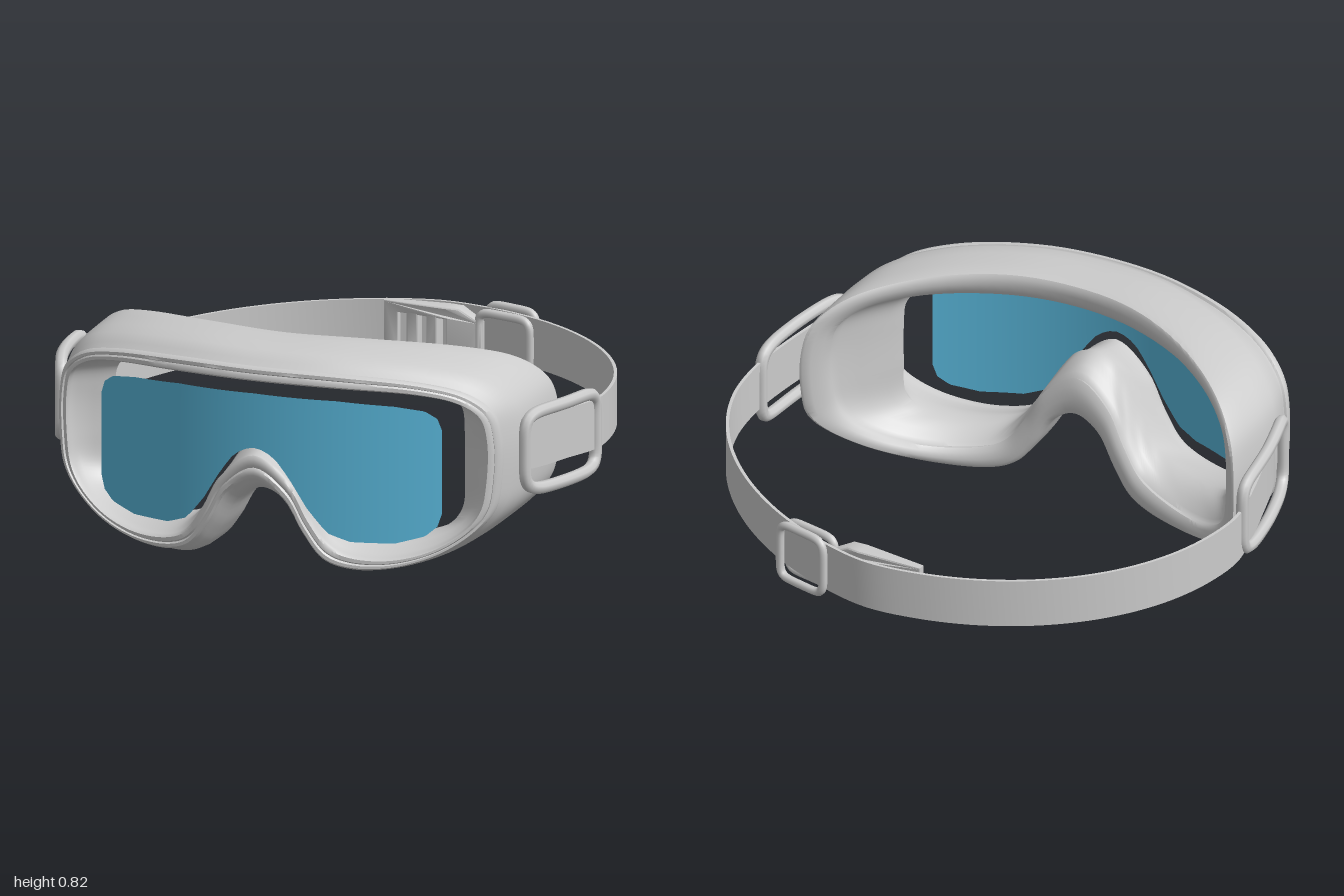
import * as THREE from 'three';
import { toCreasedNormals } from 'three/addons/utils/BufferGeometryUtils.js';

const V = (x, y, z) => new THREE.Vector3(x, y, z);
const lerp = THREE.MathUtils.lerp;
const grey = new THREE.MeshStandardMaterial({ color: 0xcccccc, side: THREE.DoubleSide });
const blue = new THREE.MeshStandardMaterial({ color: 0x5ab8dc, side: THREE.DoubleSide });

function part(name, geometry, material = grey) {
  const mesh = new THREE.Mesh(geometry, material);
  mesh.name = name;
  return mesh;
}

// Skin a list of cross-sections; each direction may wrap round
function loft(sections, wrapAlong, wrapSection, crease = 0.7) {
  const n = sections.length, m = sections[0].length, index = [];
  for (let i = 0; i < (wrapAlong ? n : n - 1); i++) {
    for (let j = 0; j < (wrapSection ? m : m - 1); j++) {
      const i2 = (i + 1) % n, j2 = (j + 1) % m;
      const a = i * m + j, b = i * m + j2, c = i2 * m + j2, d = i2 * m + j;
      index.push(a, b, c, a, c, d);
    }
  }
  const g = new THREE.BufferGeometry().setFromPoints(sections.flat());
  g.setIndex(index);
  return toCreasedNormals(g, crease);
}

// Half outlines from top centre, round the side, to the nose arch:
// outside of the body, inner edge of the front rim, narrowest opening
const OUTER = [[0, .825], [.3, .82], [.6, .78], [.77, .72], [.86, .63], [.888, .52], [.888, .36], [.87, .26],
  [.81, .18], [.68, .085], [.5, .02], [.33, .005], [.235, .035], [.165, .12], [.09, .24], [0, .285]];
const RIM = [[0, .725], [.3, .72], [.58, .7], [.71, .665], [.78, .61], [.803, .52], [.8, .36], [.782, .26],
  [.735, .19], [.63, .12], [.49, .085], [.35, .095], [.275, .13], [.205, .225], [.135, .35], [0, .445]];
const INNER = [[0, .69], [.3, .685], [.5, .67], [.62, .645], [.662, .6], [.672, .5], [.672, .36], [.665, .22],
  [.62, .16], [.5, .13], [.36, .135], [.27, .165], [.2, .265], [.13, .385], [.07, .455], [0, .475]];

function outline(half) {
  const mirrored = half.slice(1, -1).reverse().map(([x, y]) => [-x, y]);
  return new THREE.CatmullRomCurve3([...half, ...mirrored].map(([x, y]) => V(x, y, 0)), true, 'centripetal');
}

// Hollow frame: [inset (0 outer, 1 rim, 2 inner), depth from front to back]
const SECTION = [[.05, 1], [0, .93], [0, .75], [.02, .5], [.1, .3], [.32, .15], [.52, .1], [.56, .07], [.47, .05],
  [.46, .015], [.55, -.02], [.67, -.02], [.72, .003], [.78, -.015], [.93, -.015], [1, .01], [1.01, .06],
  [1.12, .14], [1.5, .3], [2, .5], [1.8, .62], [1.35, .76], [1, .86], [.86, .91], [.93, .965], [.75, 1.01],
  [.45, 1.03], [.18, 1.025]];

function frame() {
  const curves = [OUTER, RIM, INNER].map(outline), sections = [], N = 180;
  for (let i = 0; i < N; i++) {
    const [a, b, c] = curves.map(curve => curve.getPoint(i / N));
    sections.push(SECTION.map(([inset, depth]) => {
      const p = inset < 1 ? a.clone().lerp(b, inset) : b.clone().lerp(c, inset - 1);
      p.z = lerp(.94 - .36 * p.x * p.x, .63 - .56 * p.x * p.x, depth);
      return p;
    }));
  }
  return loft(sections, true, true, .8);
}

// Curved lens, filled column by column between a top and a bottom edge
const LENS_TOP = [[0, .68], [.3, .673], [.5, .655], [.6, .635], [.64, .605], [.655, .56]];
const LENS_BOTTOM = [[0, .475], [.04, .467], [.08, .44], [.13, .375], [.2, .26], [.27, .175], [.35, .145],
  [.5, .14], [.6, .165], [.64, .2], [.655, .25]];

function heightAt(table, x) {
  const k = Math.max(1, table.findIndex(p => p[0] >= x - 1e-6));
  const [x0, y0] = table[k - 1], [x1, y1] = table[k];
  return lerp(y0, y1, (x - x0) / (x1 - x0));
}

function lens() {
  const columns = [];
  for (let i = -36; i <= 36; i++) {
    const x = .655 * Math.sin(i / 36 * Math.PI / 2), column = [];
    const top = heightAt(LENS_TOP, Math.abs(x)), bottom = heightAt(LENS_BOTTOM, Math.abs(x));
    for (let j = 0; j <= 6; j++) column.push(V(x, lerp(bottom, top, j / 6), .94 - .42 * x * x));
    columns.push(column);
  }
  return loft(columns, false, false);
}

// Flat strap round the head, slightly lower on one side and pulled in behind the other
function strap() {
  const left = [V(.86, .46, .54), V(.905, .455, .44), V(.945, .445, .28), V(.978, .43, .12)];
  const path = [...left];
  for (let k = 0; k <= 16; k++) {
    const a = k / 16 * Math.PI, x = .985 * Math.cos(a);
    const pull = Math.sin(2 * a) * (x > 0 ? .05 : -.02);
    path.push(V(x, .39 + .035 * x, .03 - .97 * Math.sin(a) + pull));
  }
  left.slice().reverse().forEach((p, k) => path.push(V(-p.x, [.375, .4, .43, .44][k], p.z)));
  const curve = new THREE.CatmullRomCurve3(path), sections = [], N = 120;
  for (let i = 0; i <= N; i++) {
    const p = curve.getPoint(i / N), t = curve.getTangent(i / N);
    const out = V(-t.z, 0, t.x).normalize();
    sections.push([[1, 1], [1, -1], [-1, -1], [-1, 1]].map(([w, v]) =>
      p.clone().addScaledVector(out, w * .006).add(V(0, v * .093, 0))));
  }
  return loft(sections, false, true);
}

// Rounded rectangular wire loop lying along a horizontal direction
function loop(centre, along, rx, ry, { tilt = 0, bulge = 0, side = 1, r = .023 } = {}) {
  const d = along.clone().normalize(), out = V(d.z, 0, -d.x), pts = [];
  const soft = c => Math.sign(c) * Math.abs(c) ** .35;
  for (let k = 0; k < 40; k++) {
    const a = k / 40 * Math.PI * 2, u = soft(Math.cos(a)) * rx, v = soft(Math.sin(a)) * ry;
    const p = centre.clone().addScaledVector(d, u).addScaledVector(out, bulge * (1 - (u / rx) ** 2));
    p.y += v + tilt * u;
    p.x *= side;
    pts.push(p);
  }
  return new THREE.TubeGeometry(new THREE.CatmullRomCurve3(pts, true), 96, r, 8, true);
}

// Slotted adjuster plate, thickest near its middle
function plate() {
  const s = new THREE.Shape([[-.19, .29], [.05, .285], [.1, .285], [.18, .33], [.18, .44], [.1, .485],
    [.05, .485], [-.19, .48]].map(([x, y]) => new THREE.Vector2(x, y)));
  for (const x of [-.145, -.065, .015]) {
    s.holes.push(new THREE.Path([[x, .32], [x, .45], [x + .045, .45], [x + .045, .32]]
      .map(([a, b]) => new THREE.Vector2(a, b))));
  }
  const g = new THREE.ExtrudeGeometry(s, {
    depth: .018, bevelThickness: .006, bevelSize: .006, bevelSegments: 2 });
  g.translate(0, 0, -.009);
  const p = g.attributes.position;
  for (let i = 0; i < p.count; i++) {
    p.setZ(i, p.getZ(i) * (1 + 1.2 * Math.max(0, 1 - Math.abs(p.getX(i) - .05) / .2)));
  }
  return toCreasedNormals(g, .6);
}

export function createModel() {
  const model = new THREE.Group();
  model.name = 'goggles';
  model.add(part('frame', frame()), part('lens', lens(), blue), part('strap', strap()));

  // Side loops joining strap and frame
  for (const side of [1, -1]) {
    model.add(part(side > 0 ? 'leftStrapLoop' : 'rightStrapLoop',
      loop(V(.938, .425, .314), V(-.19, 0, .98), .24, .146, { tilt: .07, bulge: .02, side })));
  }

  // Adjuster at the back
  const adjuster = new THREE.Group();
  adjuster.name = 'rearAdjuster';
  const slotted = part('slottedPlate', plate());
  slotted.position.z = -.873;
  slotted.rotation.y = -.04;
  adjuster.add(slotted,
    part('outerBuckleLoop', loop(V(.29, .39, -.893), V(.22, 0, .055), .105, .11, { r: .016 })),
    part('innerBuckleLoop', loop(V(.28, .385, -.835), V(.23, 0, .05), .11, .1, { r: .016 })));
  model.add(adjuster);
  return model;
}
